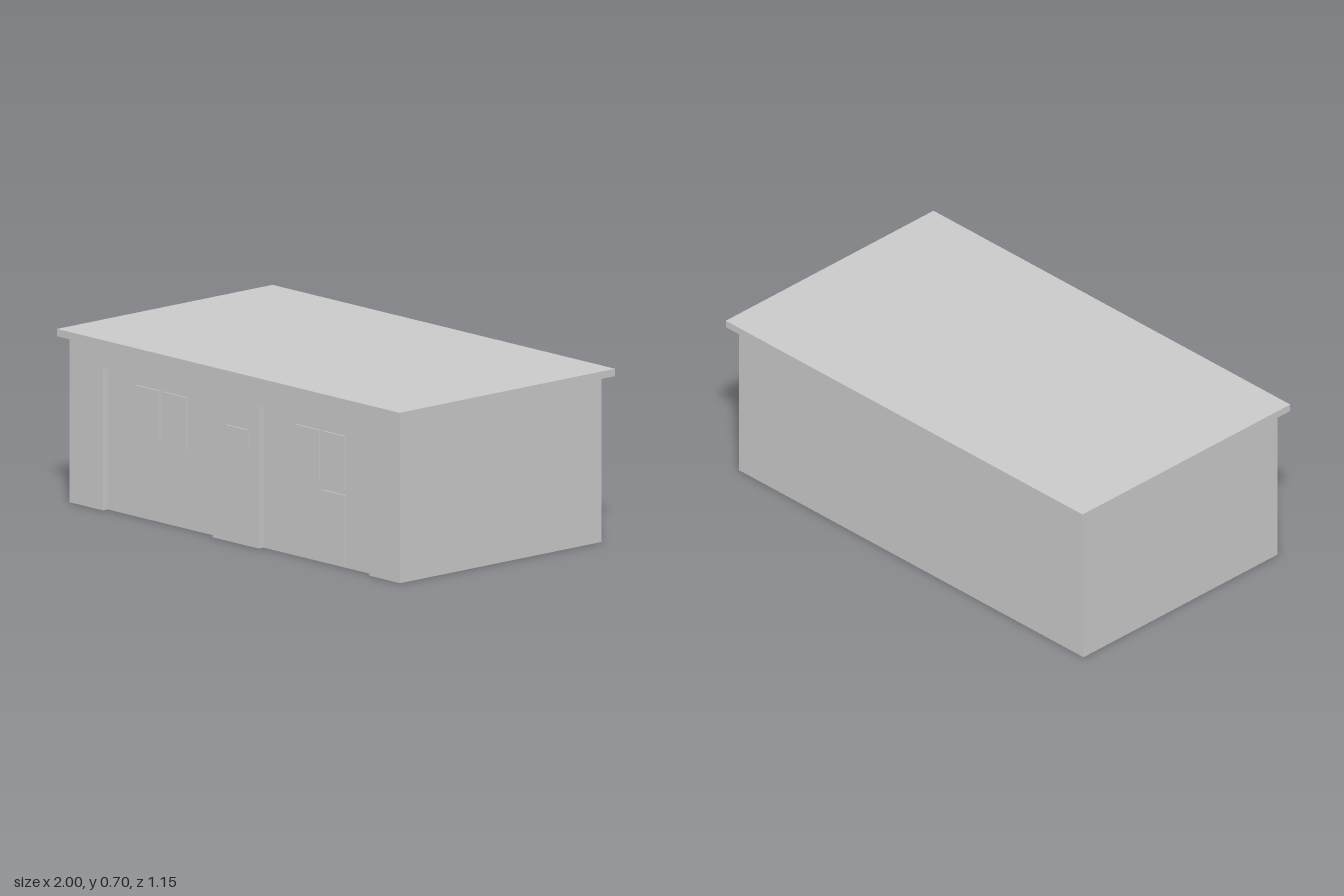
import * as THREE from 'three';
import { mergeGeometries } from 'three/addons/utils/BufferGeometryUtils.js';

const material = new THREE.MeshStandardMaterial({
  color: 0xcccccc, flatShading: true, side: THREE.DoubleSide,
});

const WALL_X = 0.965, WALL_Y = 0.67, FRONT_Z = 0.54, BACK_Z = -0.535;
const PANEL_Z = 0.515, TRIM = 0.006;

const rectPath = (Kind, [x0, x1, y0, y1]) => new Kind([
  new THREE.Vector2(x0, y0), new THREE.Vector2(x1, y0),
  new THREE.Vector2(x1, y1), new THREE.Vector2(x0, y1),
]);

// Thin upright sheet facing +z, with rectangular openings
function sheet(outline, z, holes = []) {
  const shape = outline instanceof THREE.Shape ? outline : rectPath(THREE.Shape, outline);
  shape.holes = holes.map((h) => rectPath(THREE.Path, h));
  return new THREE.ShapeGeometry(shape).translate(0, 0, z);
}

// The sides joining an opening at z0 to its face at z1
function rim([x0, x1, y0, y1], z0, z1, withBottom) {
  const depth = Math.abs(z1 - z0), z = (z0 + z1) / 2;
  const x = (x0 + x1) / 2, y = (y0 + y1) / 2;
  const out = z1 > z0 ? 1 : -1;
  const side = (px, s) => new THREE.PlaneGeometry(depth, y1 - y0)
    .rotateY(s * Math.PI / 2).translate(px, y, z);
  const level = (py, s) => new THREE.PlaneGeometry(x1 - x0, depth)
    .rotateX(-s * Math.PI / 2).translate(x, py, z);
  const parts = [side(x0, -out), side(x1, out), level(y1, out)];
  if (withBottom) parts.push(level(y0, -out));
  return parts;
}

// Raised rectangle, open at the back
const raised = (rect, z) =>
  mergeGeometries([sheet(rect, z + TRIM), ...rim(rect, z, z + TRIM, true)]);

export function createModel() {
  const model = new THREE.Group();
  const add = (name, geometry, parent = model) => {
    const mesh = new THREE.Mesh(geometry, material);
    mesh.name = name;
    parent.add(mesh);
    return mesh;
  };

  // Flat roof slab with overhang
  add('roof', new THREE.BoxGeometry(2, 0.03, 1.15).translate(0, 0.685, 0));

  // Side and back walls
  const depth = FRONT_Z - BACK_Z, midZ = (FRONT_Z + BACK_Z) / 2;
  for (const [name, s] of [['leftWall', 1], ['rightWall', -1]]) {
    add(name, new THREE.PlaneGeometry(depth, WALL_Y)
      .rotateY(s * Math.PI / 2).translate(s * WALL_X, WALL_Y / 2, midZ));
  }
  add('backWall', new THREE.PlaneGeometry(2 * WALL_X, WALL_Y)
    .rotateY(Math.PI).translate(0, WALL_Y / 2, BACK_Z));

  // Recessed bays [x0, x1, y0, y1] with their windows and low door
  const bays = [
    { name: 'rightBay', rect: [-0.77, -0.13, 0, 0.575], details: [
      ['window', [-0.598, -0.46, 0.312, 0.532]],
      ['window', [-0.44, -0.305, 0.312, 0.532]],
    ] },
    { name: 'leftBay', rect: [0.14, 0.785, 0, 0.575], details: [
      ['window', [0.334, 0.47, 0.316, 0.532]],
      ['window', [0.484, 0.62, 0.316, 0.532]],
      ['lowDoor', [0.484, 0.62, 0.012, 0.293]],
    ] },
  ];
  const sign = [-0.05, 0.086, 0.39, 0.47];

  // Front wall, notched down to the ground at each bay
  const wall = [[-WALL_X, 0]];
  for (const { rect: [x0, x1, y0, y1] } of bays) {
    wall.push([x0, y0], [x0, y1], [x1, y1], [x1, y0]);
  }
  wall.push([WALL_X, 0], [WALL_X, WALL_Y], [-WALL_X, WALL_Y]);
  const wallShape = new THREE.Shape(wall.map(([x, y]) => new THREE.Vector2(x, y)));
  add('frontWall', sheet(wallShape, FRONT_Z, [sign]));
  add('wallPlate', raised(sign, FRONT_Z));

  for (const { name, rect, details } of bays) {
    const bay = new THREE.Group();
    bay.name = name;
    model.add(bay);
    add('bayPanel', sheet(rect, PANEL_Z, details.map((d) => d[1])), bay);
    add('bayReveal', mergeGeometries(rim(rect, FRONT_Z, PANEL_Z, false)), bay);
    for (const [part, area] of details) add(part, raised(area, PANEL_Z), bay);
  }
  return model;
}
